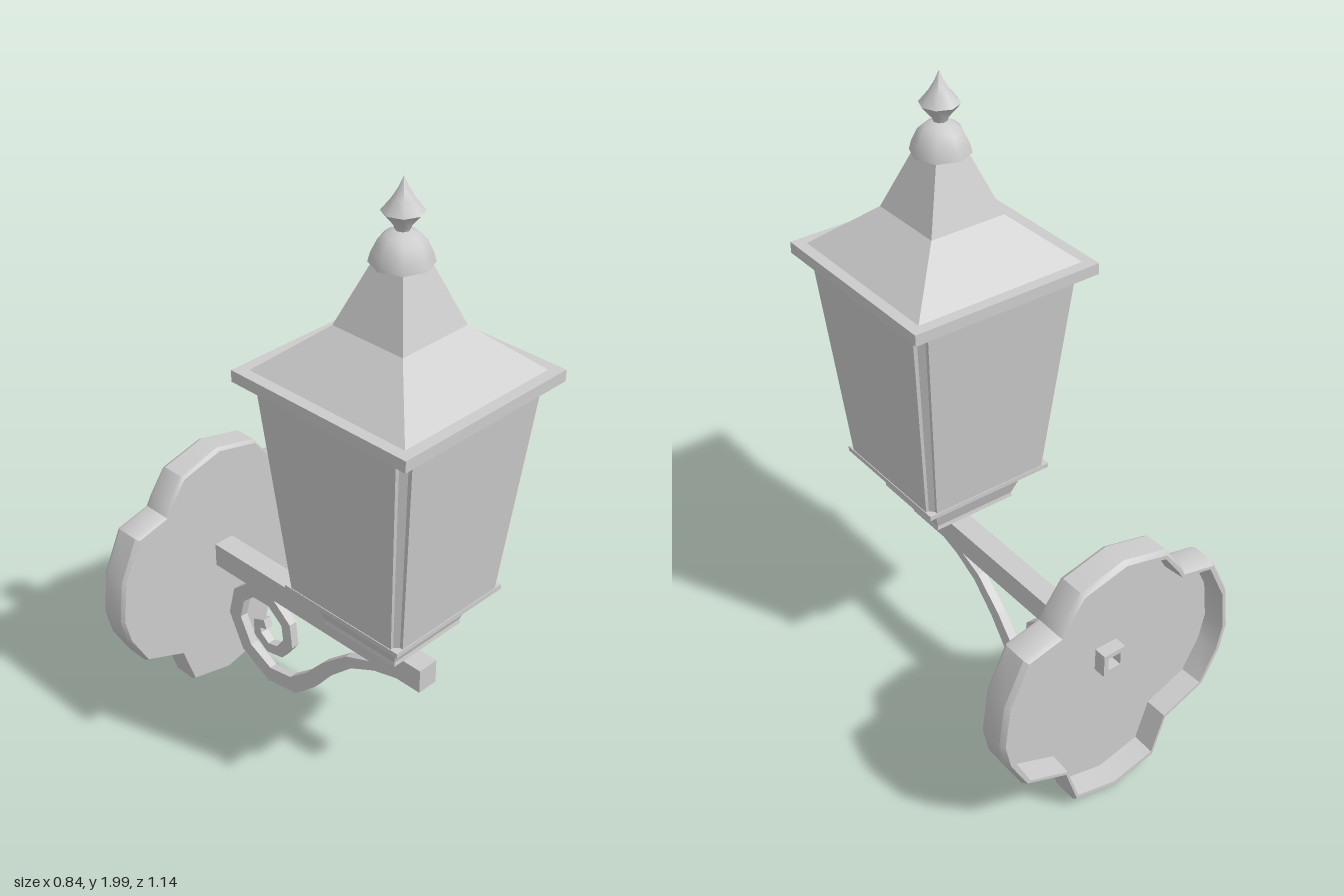
import * as THREE from 'three';
import { toCreasedNormals } from 'three/addons/utils/BufferGeometryUtils.js';

const material = new THREE.MeshStandardMaterial({ color: 0xcccccc });
const LANTERN_Z = 0.26;

function part(name, geometry, parent) {
  const mesh = new THREE.Mesh(geometry, material);
  mesh.name = name;
  parent.add(mesh);
  return mesh;
}

// Stacks scaled copies of a counter-clockwise XY outline along z; levels are [scale, z]
function loft(outline, levels, crease) {
  const n = outline.length;
  const pos = [];
  const at = (level, j) => {
    const [x, y] = outline[j % n];
    return [x * level[0], y * level[0], level[1]];
  };
  for (let i = 0; i < levels.length - 1; i++) {
    const lo = levels[i], hi = levels[i + 1];
    for (let j = 0; j < n; j++) {
      const a = at(lo, j), b = at(lo, j + 1), c = at(hi, j + 1), d = at(hi, j);
      if (lo[0] > 0) pos.push(...a, ...b, ...c);
      else pos.push(...a, ...c, ...d);
      if (lo[0] > 0 && hi[0] > 0) pos.push(...a, ...c, ...d);
    }
  }
  const g = new THREE.BufferGeometry();
  g.setAttribute('position', new THREE.Float32BufferAttribute(pos, 3));
  g.computeVertexNormals();
  return toCreasedNormals(g, crease);
}

// The same, standing upright
const uprightLoft = (outline, levels) => loft(outline, levels, 0.1).rotateX(-Math.PI / 2);

const square = [[1, -1], [1, 1], [-1, 1], [-1, -1]];

// Four panels with recessed, slanted corner strips between them
function panelOutline() {
  const c = 0.895, t = 0.955;
  const corner = [[1, c], [t, c], [c, t], [c, 1]];
  const pts = [];
  for (let k = 0; k < 4; k++) {
    const cs = Math.round(Math.cos(k * Math.PI / 2)), sn = Math.round(Math.sin(k * Math.PI / 2));
    for (const [x, y] of corner) pts.push([x * cs - y * sn, x * sn + y * cs]);
  }
  return pts;
}

function buildLantern() {
  const lantern = new THREE.Group();
  lantern.name = 'lantern';
  lantern.position.z = LANTERN_Z;

  part('lanternBody', uprightLoft(panelOutline(), [[0, 0.745], [0.215, 0.745], [0.28, 1.425], [0, 1.425]]), lantern);

  // Stepped base under the panels
  part('lanternBase', uprightLoft(square, [
    [0, 0.535], [0.035, 0.535], [0.05, 0.56], [0.085, 0.575], [0.105, 0.6], [0.14, 0.612], [0.138, 0.625],
    [0.158, 0.685], [0.175, 0.695], [0.21, 0.728], [0.218, 0.735], [0.218, 0.75], [0, 0.75]]), lantern);

  const eave = part('eave', new THREE.BoxGeometry(0.62, 0.035, 0.62), lantern);
  eave.position.y = 1.4375;

  part('roof', uprightLoft(square, [
    [0, 1.454], [0.277, 1.454], [0.123, 1.588], [0.052, 1.772], [0, 1.772]]), lantern);

  // Turned ornaments on the roof
  const turned = (name, points) => part(name, toCreasedNormals(
    new THREE.LatheGeometry(points.map(([r, y]) => new THREE.Vector2(r, y)), 8), 0.9), lantern);
  turned('roofCap', [[0, 1.768], [0.087, 1.768], [0.08, 1.795], [0.063, 1.83], [0.045, 1.846], [0.02, 1.857], [0, 1.858]]);
  turned('finial', [[0, 1.85], [0.018, 1.85], [0.024, 1.868], [0.058, 1.908], [0.03, 1.942], [0.013, 1.97], [0, 2]]);
  return lantern;
}

// Scalloped wall plate, hollow behind
function buildWallPlate() {
  const half = [[0.15, -0.4], [0.195, -0.267], [0.34, -0.207], [0.4, -0.097], [0.42, -0.01],
    [0.403, 0.13], [0.34, 0.263], [0.225, 0.29], [0.205, 0.325], [0.15, 0.4]];
  const outline = [[0, -0.437], ...half, [0, 0.437], ...half.map(([x, y]) => [-x, y]).reverse()];
  const g = loft(outline, [
    [0, -0.5], [0.93, -0.5], [0.945, -0.57], [0.975, -0.57], [1, -0.555],
    [1, -0.482], [0.98, -0.47], [0, -0.47]], 0.6);
  return g.translate(0, 0.4425, 0);
}

// Flat scroll: path points are [z, y, half width]
function buildScroll() {
  const path = [
    [0.31, 0.443, 0.008], [0.2, 0.42, 0.015], [0.1, 0.375, 0.02], [0.005, 0.29, 0.023], [-0.065, 0.205, 0.026],
    [-0.145, 0.135, 0.029], [-0.255, 0.115, 0.029], [-0.36, 0.17, 0.028], [-0.412, 0.275, 0.027],
    [-0.39, 0.365, 0.026], [-0.33, 0.417, 0.025], [-0.245, 0.417, 0.023], [-0.175, 0.36, 0.022],
    [-0.167, 0.29, 0.021], [-0.205, 0.237, 0.02], [-0.26, 0.224, 0.019], [-0.305, 0.257, 0.019],
    [-0.308, 0.296, 0.018], [-0.27, 0.31, 0.017]];
  const left = [], right = [];
  path.forEach(([z, y, w], i) => {
    const p = path[Math.max(i - 1, 0)], q = path[Math.min(i + 1, path.length - 1)];
    const dz = q[0] - p[0], dy = q[1] - p[1], len = Math.hypot(dz, dy);
    left.push(new THREE.Vector2(z - dy / len * w, y + dz / len * w));
    right.push(new THREE.Vector2(z + dy / len * w, y - dz / len * w));
  });
  const shape = new THREE.Shape([...left, ...right.reverse()]);
  return new THREE.ExtrudeGeometry(shape, { depth: 0.028, bevelEnabled: false })
    .rotateY(-Math.PI / 2).translate(0.014, 0, 0);
}

export function createModel() {
  const model = new THREE.Group();
  model.name = 'wallLantern';
  model.add(buildLantern());

  // Bar carrying the lantern, with its open end showing behind the plate
  const arm = part('arm', new THREE.BoxGeometry(0.07, 0.08, 0.895), model);
  arm.position.set(0, 0.495, -0.0425);
  const r = 0.038, s = 0.022;
  const sleeve = new THREE.Shape(square.map(([x, y]) => new THREE.Vector2(x * r, y * r)));
  sleeve.holes.push(new THREE.Path(square.map(([x, y]) => new THREE.Vector2(x * s, y * s))));
  const end = part('armEnd', new THREE.ExtrudeGeometry(sleeve, { depth: 0.045, bevelEnabled: false }), model);
  end.position.set(0, 0.495, -0.54);

  part('scroll', buildScroll(), model);
  part('wallPlate', buildWallPlate(), model);
  return model;
}
